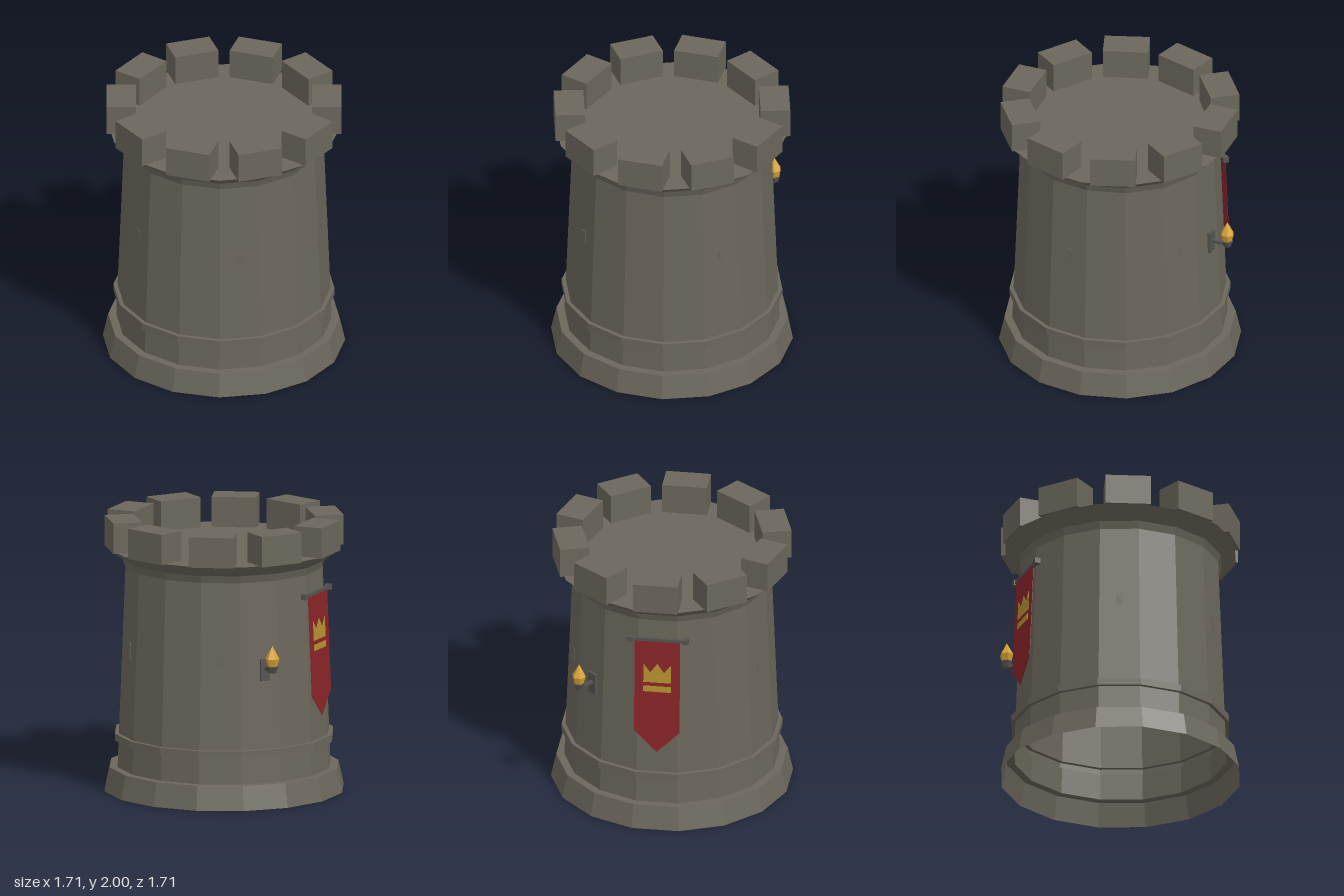
import * as THREE from 'three';

const mat = (name, color, side = THREE.FrontSide) => {
  const m = new THREE.MeshStandardMaterial({ color, side, flatShading: true });
  m.name = name;
  return m;
};

export function createModel() {
  const stone = mat('stone', 0x6b675b, THREE.DoubleSide);
  const iron = mat('iron', 0x55544f);
  const red = mat('red cloth', 0x8a2529, THREE.DoubleSide);
  const gold = mat('gold', 0xb8922f, THREE.DoubleSide);
  const flameMat = mat('flame', 0xd9a336);

  const tower = new THREE.Group();
  tower.name = 'tower';

  const add = (parent, name, geometry, material, x = 0, y = 0, z = 0) => {
    const mesh = new THREE.Mesh(geometry, material);
    mesh.name = name;
    mesh.position.set(x, y, z);
    parent.add(mesh);
    return mesh;
  };
  // Group turned about the tower axis, so that its +z points outwards
  const spoke = (name, angle) => {
    const g = new THREE.Group();
    g.name = name;
    g.rotation.y = angle;
    tower.add(g);
    return g;
  };
  const box = (w, h, d) => new THREE.BoxGeometry(w, h, d);

  // Sixteen-sided open shell: plinth, band, tapering wall, flare and roof
  const wall = [
    [0.855, 0], [0.817, 0.175], [0.76, 0.175], [0.753, 0.37], [0.78, 0.37],
    [0.78, 0.422], [0.751, 0.422], [0.704, 1.64], [0.722, 1.695], [0.825, 1.78], [0, 1.78],
  ].map(([r, y]) => new THREE.Vector2(r / Math.cos(Math.PI / 16), y));
  add(tower, 'towerWall', new THREE.LatheGeometry(wall, 16, Math.PI / 16), stone);

  // Ten merlons around the roof
  for (let i = 0; i < 10; i++) {
    add(spoke('merlon', (i * Math.PI) / 5), 'merlonBlock', box(0.326, 0.222, 0.213), stone, 0, 1.889, 0.738);
  }

  // Narrow slits, just proud of the leaning wall
  for (const [deg, face] of [[45, 0.729], [-45, 0.729], [112.5, 0.7278], [-112.5, 0.7278]]) {
    add(spoke('arrowSlit', THREE.MathUtils.degToRad(deg)), 'slitBlock',
      box(0.05, 0.265, 0.06), stone, 0, 0.9825, face - 0.03);
  }

  // Wall torch
  const torch = spoke('torch', THREE.MathUtils.degToRad(138));
  add(torch, 'torchPlate', box(0.07, 0.16, 0.03), iron, 0, 1, 0.735);
  add(torch, 'torchArm', box(0.022, 0.022, 0.13), iron, 0, 1.012, 0.805);
  add(torch, 'torchCup', new THREE.CylinderGeometry(0.045, 0.027, 0.05, 6), iron, 0, 1.025, 0.87);
  const flame = [[0, 0], [0.036, 0], [0.051, 0.055], [0, 0.15]].map(([r, y]) => new THREE.Vector2(r, y));
  add(torch, 'torchFlame', new THREE.LatheGeometry(flame, 6), flameMat, 0, 1.05, 0.87);

  // Banner on the back wall
  const banner = spoke('banner', Math.PI);
  add(banner, 'bannerRod', box(0.4, 0.024, 0.024), iron, 0, 1.495, 0.73);
  for (const s of [-1, 1]) add(banner, 'rodEnd', box(0.04, 0.04, 0.04), iron, s * 0.205, 1.495, 0.73);

  // Cloth and emblem hang along the lean of the wall
  const cloth = new THREE.Group();
  cloth.name = 'bannerCloth';
  cloth.position.set(0, 1.485, 0.737);
  cloth.rotation.x = -0.042;
  banner.add(cloth);
  const plate = (name, points, material, z) => {
    const shape = new THREE.Shape(points.map(([x, y]) => new THREE.Vector2(x, y)));
    add(cloth, name, new THREE.ExtrudeGeometry(shape, { depth: 0.003, bevelEnabled: false }), material, 0, 0, z);
  };
  plate('bannerSheet', [[-0.165, 0], [-0.165, -0.725], [0, -0.89], [0.165, -0.725], [0.165, 0]], red, 0);
  plate('crownPoints', [
    [-0.1, -0.33], [0.1, -0.33], [0.1, -0.185], [0.05, -0.25],
    [0, -0.18], [-0.05, -0.25], [-0.1, -0.185],
  ], gold, 0.003);
  plate('crownBand', [[-0.1, -0.405], [0.1, -0.405], [0.1, -0.36], [-0.1, -0.36]], gold, 0.003);

  return tower;
}
